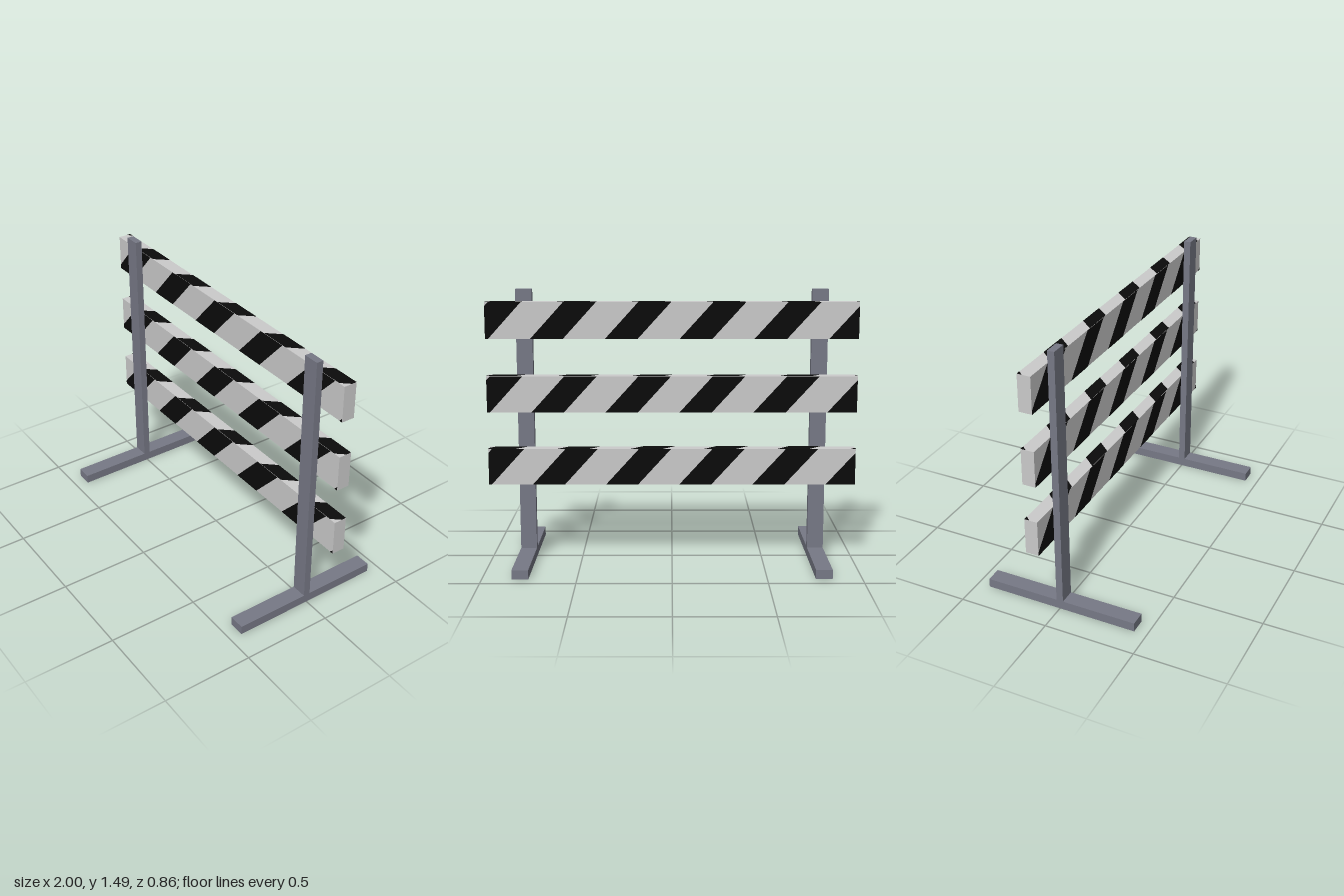
import * as THREE from 'three';

const LENGTH = 2, RAIL_H = 0.197, RAIL_D = 0.072, RAIL_Z = -0.056;
const PERIOD = 0.4, STRIPE_W = 0.175, SLANT = 0.91;

// Keep the part of a convex polygon where side * x <= limit
function clip(points, side, limit) {
  const out = [];
  points.forEach((a, i) => {
    const b = points[(i + 1) % points.length];
    const da = side * a.x - limit, db = side * b.x - limit;
    if (da <= 0) out.push(a);
    if (da * db < 0) out.push(a.clone().lerp(b, da / (da - db)));
  });
  return out;
}

// Slanted stripes across a face of the given height, clipped to the rail ends
function stripeGeometry(height, start) {
  const shapes = [], lean = height * SLANT;
  for (let x = start - 2 * PERIOD; x < 1; x += PERIOD) {
    let p = [[x, 0], [x + STRIPE_W, 0], [x + STRIPE_W + lean, height], [x + lean, height]]
      .map(([px, py]) => new THREE.Vector2(px, py));
    p = clip(clip(p, 1, LENGTH / 2), -1, LENGTH / 2);
    if (p.length > 2) shapes.push(new THREE.Shape(p));
  }
  return new THREE.ShapeGeometry(shapes).translate(0, -height / 2, 0);
}

export function createModel() {
  const model = new THREE.Group();
  model.name = 'barricade';
  const steel = new THREE.MeshStandardMaterial({ name: 'grey steel', color: 0x777986 });
  const white = new THREE.MeshStandardMaterial({ name: 'off white', color: 0xcbcbcb });
  const black = new THREE.MeshStandardMaterial({ name: 'black', color: 0x0b0b0b });

  const add = (parent, name, geometry, material, x = 0, y = 0, z = 0) => {
    const mesh = new THREE.Mesh(geometry, material);
    mesh.name = name;
    mesh.position.set(x, y, z);
    parent.add(mesh);
    return mesh;
  };

  // Upright posts on long feet
  for (const [side, x] of [['left', 0.799], ['right', -0.799]]) {
    add(model, side + 'Foot', new THREE.BoxGeometry(0.088, 0.05, 0.86), steel, x, 0.025, 0);
    add(model, side + 'Post', new THREE.BoxGeometry(0.088, 1.44, 0.038), steel, x, 0.77, 0);
  }

  // Stripes on the four long faces: name, face height, first stripe, rotation
  const gap = 0.001;
  const faces = [
    ['front', RAIL_H, -0.62, 0, 0],
    ['back', RAIL_H, -0.76, 0, Math.PI],
    ['top', RAIL_D, -0.815, -Math.PI / 2, 0],
    ['bottom', RAIL_D, -0.88, Math.PI / 2, 0],
  ].map(([name, h, start, rx, ry]) => {
    const out = (h === RAIL_H ? RAIL_D : RAIL_H) / 2 + gap;
    const geometry = stripeGeometry(h, start).translate(0, 0, out).rotateX(rx).rotateY(ry);
    return { name, geometry };
  });

  // Three striped rails behind the posts
  const board = new THREE.BoxGeometry(LENGTH, RAIL_H, RAIL_D);
  [['lower', 0.53], ['middle', 0.929], ['upper', 1.327]].forEach(([level, y]) => {
    const rail = new THREE.Group();
    rail.name = level + 'Rail';
    rail.position.set(0, y, RAIL_Z);
    add(rail, 'board', board, white);
    faces.forEach((f) => add(rail, f.name + 'Stripes', f.geometry, black));
    model.add(rail);
  });

  return model;
}
